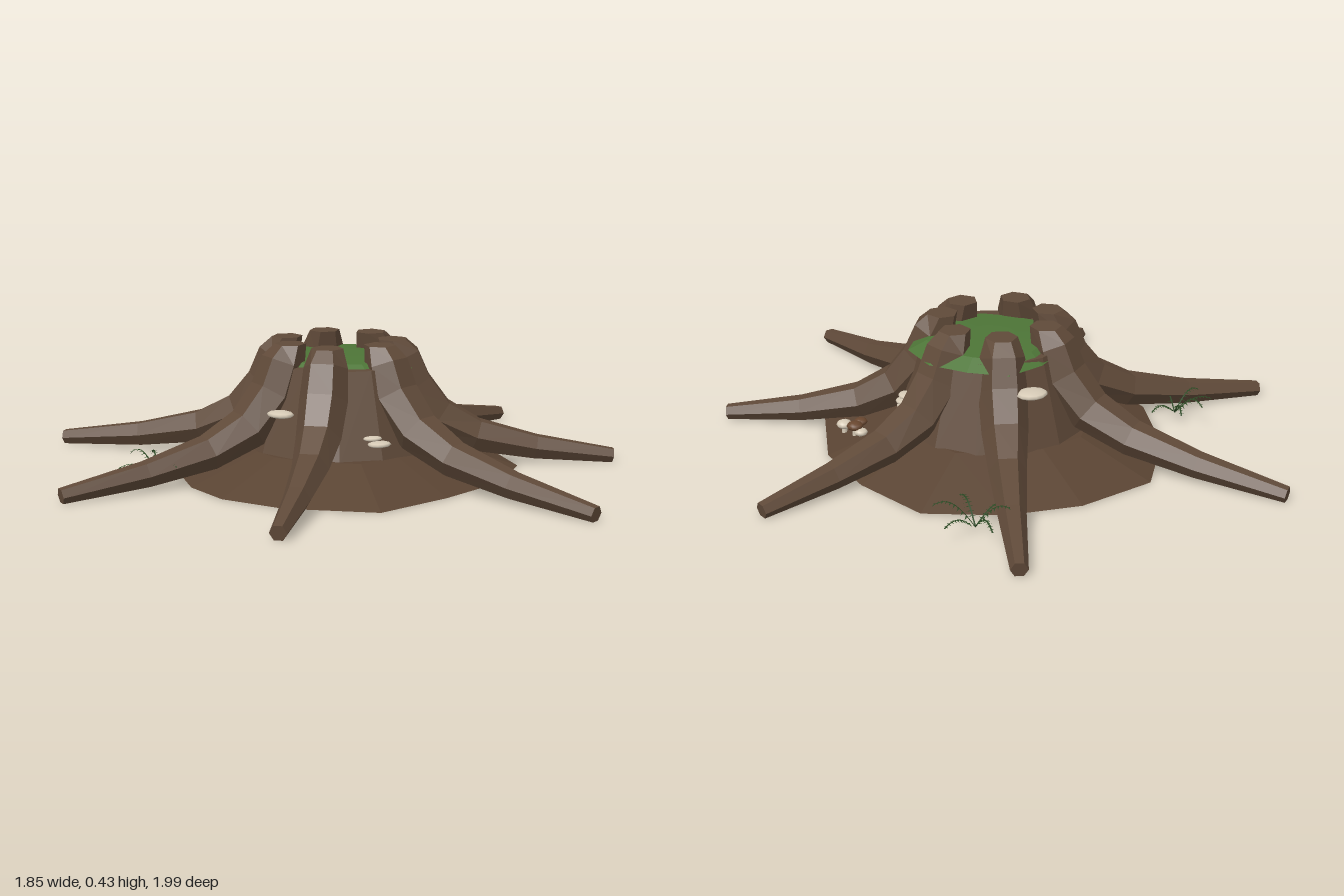
import * as THREE from 'three';

const CX = 0, CZ = -0.035; // stump axis

function geo(points, index) {
  const g = new THREE.BufferGeometry();
  g.setAttribute('position', new THREE.Float32BufferAttribute(points, 3));
  g.setIndex(index);
  const flat = g.toNonIndexed();
  flat.computeVertexNormals();
  return flat;
}

// Skins a list of equal-length rings (counter-clockwise about travel) and caps both ends
function loft(rings) {
  const n = rings[0].length, pts = [], idx = [];
  rings.forEach(r => r.forEach(p => pts.push(p.x, p.y, p.z)));
  for (let i = 0; i < rings.length - 1; i++) {
    for (let j = 0; j < n; j++) {
      const k = (j + 1) % n, a = i * n + j, b = i * n + k, c = a + n, d = b + n;
      idx.push(a, b, c, b, d, c);
    }
  }
  const last = (rings.length - 1) * n;
  for (let j = 1; j < n - 1; j++) {
    idx.push(0, j + 1, j);
    idx.push(last, last + j, last + j + 1);
  }
  return geo(pts, idx);
}

// Horizontal ring, counter-clockwise seen from above
function flatRing(outline, scale, y, cx = CX, cz = CZ) {
  return outline.map(([x, z]) => new THREE.Vector3(cx + (x - cx) * scale, y, cz + (z - cz) * scale));
}

// Hexagonal buttress root: radius, height and half width along its run
const ROOT = [
  [0.18, 0.43, 0.052], [0.207, 0.37, 0.073], [0.245, 0.27, 0.08], [0.33, 0.165, 0.074],
  [0.46, 0.1, 0.06], [0.66, 0.056, 0.044], [0.92, 0.022, 0.027],
];
function rootGeometry(startDeg, endX, endZ) {
  const length = Math.hypot(endX - CX, endZ - CZ);
  const end = Math.atan2(endZ - CZ, endX - CX), start = startDeg * Math.PI / 180;
  const delta = Math.atan2(Math.sin(end - start), Math.cos(end - start));
  const path = ROOT.map(([r, y, w]) => [r > 0.245 ? 0.245 + (r - 0.245) * (length - 0.245) / 0.675 : r, y, w]);
  const rings = path.map(([r, y, w], i) => {
    const a = path[Math.max(i - 1, 0)], b = path[Math.min(i + 1, path.length - 1)];
    let tr = b[0] - a[0], ty = b[1] - a[1];
    if (i === 0) { tr = 0; ty = -1; }
    const m = Math.hypot(tr, ty);
    const az = start + delta * Math.min(1, Math.max(0, (r - 0.18) / 0.35));
    const d = new THREE.Vector3(Math.cos(az), 0, Math.sin(az));
    const T = d.clone().multiplyScalar(tr / m).setY(ty / m);
    const N = d.clone().multiplyScalar(-ty / m).setY(tr / m);
    const S = N.clone().cross(T);
    return Array.from({ length: 6 }, (_, k) => {
      const t = k * Math.PI / 3;
      const p = d.clone().multiplyScalar(r).add(new THREE.Vector3(CX, y, CZ))
        .addScaledVector(S, w * Math.cos(t)).addScaledVector(N, w * Math.sin(t));
      p.y = Math.max(p.y, 0);
      return p;
    });
  });
  return loft(rings);
}

// Fern frond: an arching rib with paired narrow leaflets
function frondGeometry(len, rise) {
  const pts = [], idx = [];
  const at = t => [len * t, rise * Math.sin(t * 2.3), 0];
  const tri = (...corners) => {
    const base = pts.length / 3;
    corners.forEach(c => pts.push(...c));
    idx.push(base, base + 1, base + 2);
  };
  const steps = 11;
  for (let i = 0; i < steps; i++) {
    const a = at(i / steps), b = at((i + 1) / steps), w = 0.0025;
    tri([a[0], a[1], w], [b[0], b[1], w], [a[0], a[1], -w]);
    tri([b[0], b[1], w], [b[0], b[1], -w], [a[0], a[1], -w]);
    if (i < 2) continue;
    const size = 0.019 * (1 - 0.6 * i / steps);
    for (const s of [-1, 1]) {
      tri([a[0], a[1], 0], [a[0] + 0.006, a[1], 0], [a[0] + 0.006, a[1] - 0.003, s * size]);
    }
  }
  return geo(pts, idx);
}

export function createModel() {
  const material = (name, color, side = THREE.FrontSide) => {
    const m = new THREE.MeshStandardMaterial({ color, side });
    m.name = name;
    return m;
  };
  const bark = material('bark', 0x604a39);
  const soil = material('soil', 0x5a4433);
  const moss = material('moss', 0x4d7537);
  const leaf = material('fern leaf', 0x2b4823, THREE.DoubleSide);
  const cream = material('pale fungus', 0xd6cab6);
  const brown = material('mushroom cap', 0x69472f);

  const model = new THREE.Group();
  model.name = 'treeStump';
  const add = (name, geometry, mat, parent = model) => {
    const mesh = new THREE.Mesh(geometry, mat);
    mesh.name = name;
    parent.add(mesh);
    return mesh;
  };

  // Irregular ground mound
  const outline = [
    [-0.14, -0.62], [-0.37, -0.45], [-0.53, -0.21], [-0.57, -0.04], [-0.53, 0.18], [-0.38, 0.44], [-0.12, 0.5],
    [0.13, 0.525], [0.36, 0.45], [0.52, 0.21], [0.565, -0.03], [0.54, -0.3], [0.35, -0.48], [0.13, -0.59],
  ];
  add('groundMound', loft([flatRing(outline, 1, 0), flatRing(outline, 0.56, 0.085)]), soil);

  // Tapered trunk core
  const trunk = add('trunk', new THREE.CylinderGeometry(0.235, 0.325, 0.29, 14).toNonIndexed(), bark);
  trunk.geometry.computeVertexNormals();
  trunk.position.set(CX + 0.01, 0.215, CZ);

  // Seven roots: starting angle, then tip position
  const roots = [
    [-1, 0.92, 0], [51, 0.61, 0.67], [92, -0.055, 0.995], [152, -0.79, 0.385],
    [201, -0.915, -0.395], [249, -0.37, -0.985], [306, 0.56, -0.775],
  ];
  roots.forEach(([a, x, z], i) => add('root' + (i + 1), rootGeometry(a, x, z), bark));

  // Moss pad filling the hollow and spilling between the roots
  const pad = [0.27, 0.25, 0.27, 0.24, 0.23, 0.25, 0.25, 0.23, 0.25, 0.26, 0.26, 0.28].map((r, i) => {
    const a = -i * Math.PI / 6;
    return [0.025 + r * Math.cos(a), -0.045 + r * Math.sin(a)];
  });
  add('mossPad', loft([
    flatRing(pad, 0.85, 0.325, 0.025, -0.045), flatRing(pad, 1, 0.342, 0.025, -0.045),
    flatRing(pad, 0.78, 0.372, 0.025, -0.045), flatRing(pad, 0.3, 0.378, 0.025, -0.045),
  ]), moss);

  // Shelf fungi on the trunk: x, y, z, radius
  [
    [0.11, 0.285, -0.33, 0.052], [-0.3, 0.225, -0.03, 0.048], [-0.13, 0.135, 0.24, 0.04], [-0.14, 0.153, 0.22, 0.032],
    [0.26, 0.17, 0.12, 0.033], [0.255, 0.14, 0.145, 0.03], [0.235, 0.108, 0.17, 0.027],
  ].forEach(([x, y, z, r]) => {
    const shelf = add('shelfFungus', new THREE.SphereGeometry(r, 12, 6), cream);
    shelf.scale.set(1, 0.25, 0.8);
    shelf.position.set(x, y, z);
    shelf.rotation.y = Math.atan2(x - CX, z - CZ);
  });

  // Small mushrooms on the mound: x, z, cap radius, cap material
  [
    [0.4, 0.22, 0.028, brown], [0.365, 0.235, 0.023, brown], [0.4, 0.28, 0.027, cream], [0.395, 0.195, 0.023, cream],
  ].forEach(([x, z, r, mat]) => {
    const mushroom = new THREE.Group();
    mushroom.name = 'mushroom';
    mushroom.position.set(x, 0.02, z);
    const stem = add('stem', new THREE.CylinderGeometry(r * 0.3, r * 0.35, 0.04, 8), cream, mushroom);
    stem.position.y = 0.02;
    const cap = add('cap', new THREE.SphereGeometry(r, 10, 6), mat, mushroom);
    cap.scale.y = 0.55;
    cap.position.y = mat === brown ? 0.045 : 0.03;
    model.add(mushroom);
  });

  // Two ferns: x, z and the heading of each frond in degrees
  [
    [-0.55, -0.34, [2, 52, 92, 152, 182, 252]],
    [0.49, -0.5, [0, 72, 130, 180, 252, 310]],
  ].forEach(([x, z, headings]) => {
    const fern = new THREE.Group();
    fern.name = 'fern';
    fern.position.set(x, 0.02, z);
    headings.forEach((h, i) => {
      const frond = add('frond', frondGeometry(0.12 + 0.012 * (i % 2), 0.05 + 0.014 * (i % 3)), leaf, fern);
      frond.rotation.y = h * Math.PI / 180;
    });
    model.add(fern);
  });

  return model;
}
